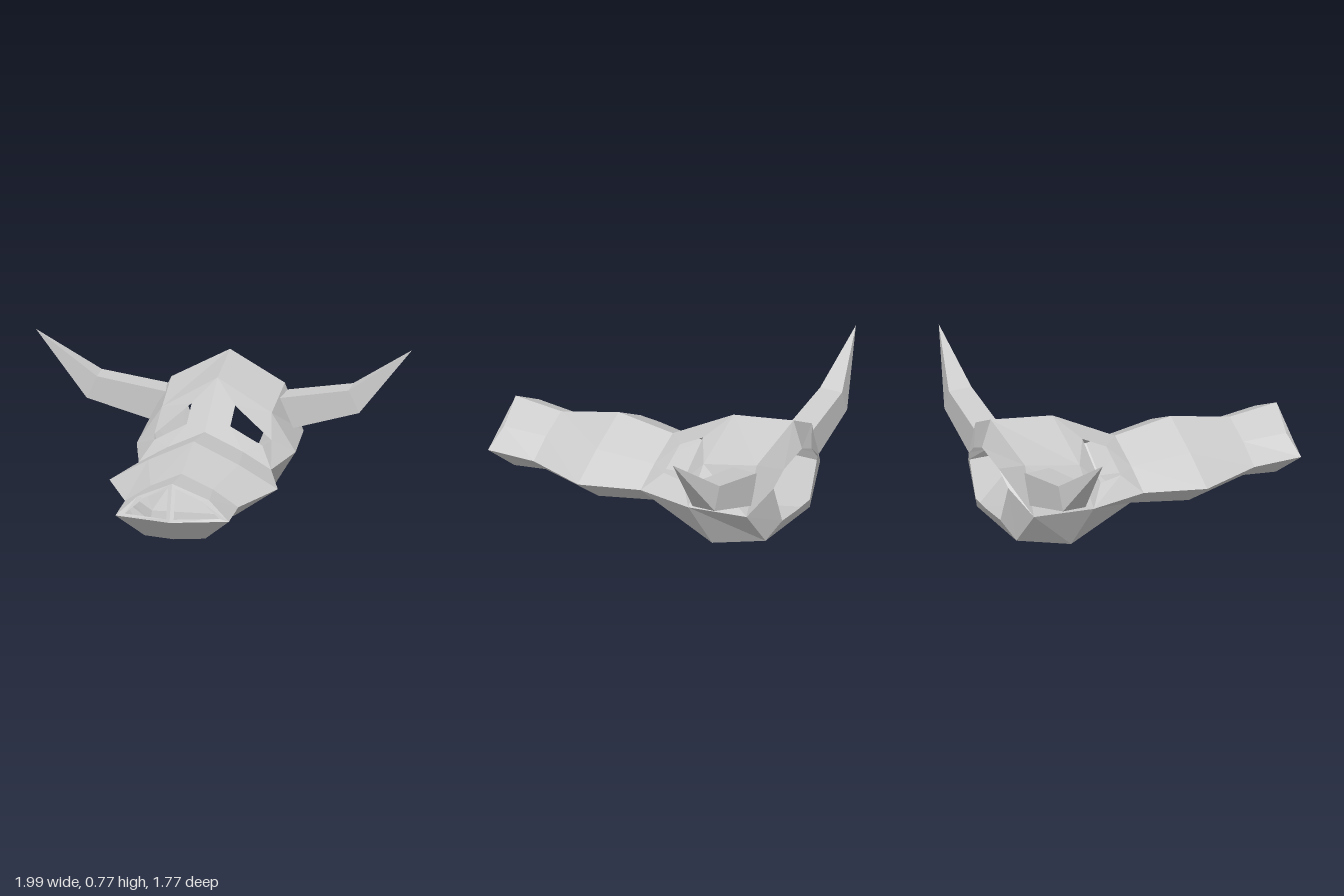
import * as THREE from 'three';

const material = new THREE.MeshStandardMaterial({ color: 0xcccccc, flatShading: true, side: THREE.DoubleSide });

// Fan-triangulates each polygon and optionally adds its mirror image across x = 0
function polyMesh(name, faces, mirror) {
  const pos = [];
  const add = (f) => {
    for (let i = 1; i < f.length - 1; i++) pos.push(...f[0], ...f[i], ...f[i + 1]);
  };
  for (const f of faces) {
    add(f);
    if (mirror) add(f.map(([x, y, z]) => [-x, y, z]).reverse());
  }
  const geo = new THREE.BufferGeometry();
  geo.setAttribute('position', new THREE.Float32BufferAttribute(pos, 3));
  geo.computeVertexNormals();
  const mesh = new THREE.Mesh(geo, material);
  mesh.name = name;
  return mesh;
}

// Quads joining two point rows of equal length
function bridge(a, b, closed = false) {
  const faces = [];
  const n = a.length;
  for (let k = 0; k < (closed ? n : n - 1); k++) {
    const l = (k + 1) % n;
    faces.push([a[k], a[l], b[l], b[k]]);
  }
  return faces;
}

export function createModel() {
  const group = new THREE.Group();
  group.name = 'hornedSkull';

  // Half cross-sections, snout to nape: ridge, shoulder, cheek, jaw, underside centre
  const rings = [
    [[0, 0.445, 0.81], [0.19, 0.355, 0.775], [0.3, 0.255, 0.81], [0.16, 0.13, 0.73], [0, 0.13, 0.77]],
    [[0, 0.415, 0.54], [0.165, 0.34, 0.54], [0.3, 0.25, 0.54], [0.165, 0.15, 0.54], [0, 0.15, 0.54]],
    [[0, 0.485, 0.2], [0.24, 0.37, 0.2], [0.445, 0.25, 0.2], [0.22, 0.095, 0.2], [0, 0.095, 0.2]],
    [[0, 0.435, -0.12], [0.2, 0.34, -0.12], [0.35, 0.25, -0.12], [0.19, 0.13, -0.12], [0, 0.13, -0.12]],
    [[0, 0.62, -0.48], [0.29, 0.45, -0.46], [0.42, 0.25, -0.44], [0.27, 0, -0.5], [0, 0, -0.5]],
    [[0, 0.665, -0.835], [0.3, 0.515, -0.78], [0.4, 0.26, -0.775], [0.24, 0.065, -0.8], [0, 0.065, -0.8]],
  ];

  // Muzzle, brow underside and cranium; the top of span 3 is left for the eye sockets
  const shell = [];
  for (let i = 0; i < rings.length - 1; i++) {
    for (let j = i === 3 ? 2 : 0; j < 4; j++) {
      const a = rings[i], b = rings[i + 1];
      shell.push([a[j], a[j + 1], b[j + 1], b[j]]);
    }
  }
  group.add(polyMesh('skullShell', shell, true));

  // Facets around each eye socket
  const [R1, S1, M1] = rings[3];
  const [R2, S2, M2] = rings[4];
  const A = [0.115, 0.44, -0.225], B = [0.115, 0.51, -0.362];
  const C = [0.31, 0.335, -0.35], D = [0.285, 0.345, -0.222];
  group.add(polyMesh('eyeSockets', [
    [R1, S1, A], [S1, D, A], [S1, M1, D], [M1, M2, C, D],
    [M2, S2, C], [S2, B, C], [S2, R2, B], [R2, R1, A, B],
  ], true));

  // Nose: frame around each nostril, then the lip below
  const [T, S, M, J, U] = rings[0];
  const tip = [0, 0.255, 0.885];
  const nostril = [[0.02, 0.42], [0.02, 0.27], [0.25, 0.27], [0.15, 0.358]]
    .map(([x, y]) => [x, y, 0.885 - 0.26 * x - 0.395 * (y - 0.255)]);
  group.add(polyMesh('nostrilFrames', bridge([T, tip, M, S], nostril, true), true));
  group.add(polyMesh('lip', [[tip, U, J, M]], true));

  // Back of the skull, narrowing to an open hole
  const hole = [[0, 0.515, -0.885], [0.15, 0.45, -0.86], [0.24, 0.375, -0.848], [0.15, 0.155, -0.85], [0, 0.16, -0.86]];
  group.add(polyMesh('skullBack', bridge(rings[5], hole), true));

  // Four-sided horns: base, bend and point
  const section = (top, bottom, zf, zb) => [[...top, zf], [...bottom, zf], [...bottom, zb], [...top, zb]];
  const base = section([0.3, 0.475], [0.37, 0.315], -0.64, -0.785);
  const bend = section([0.665, 0.54], [0.72, 0.42], -0.63, -0.76);
  const point = [0.995, 0.77, -0.662];
  const horn = [[...base].reverse(), ...bridge(base, bend, true)];
  bend.forEach((p, k) => horn.push([p, bend[(k + 1) % 4], point]));
  group.add(polyMesh('horns', horn, true));

  return group;
}
